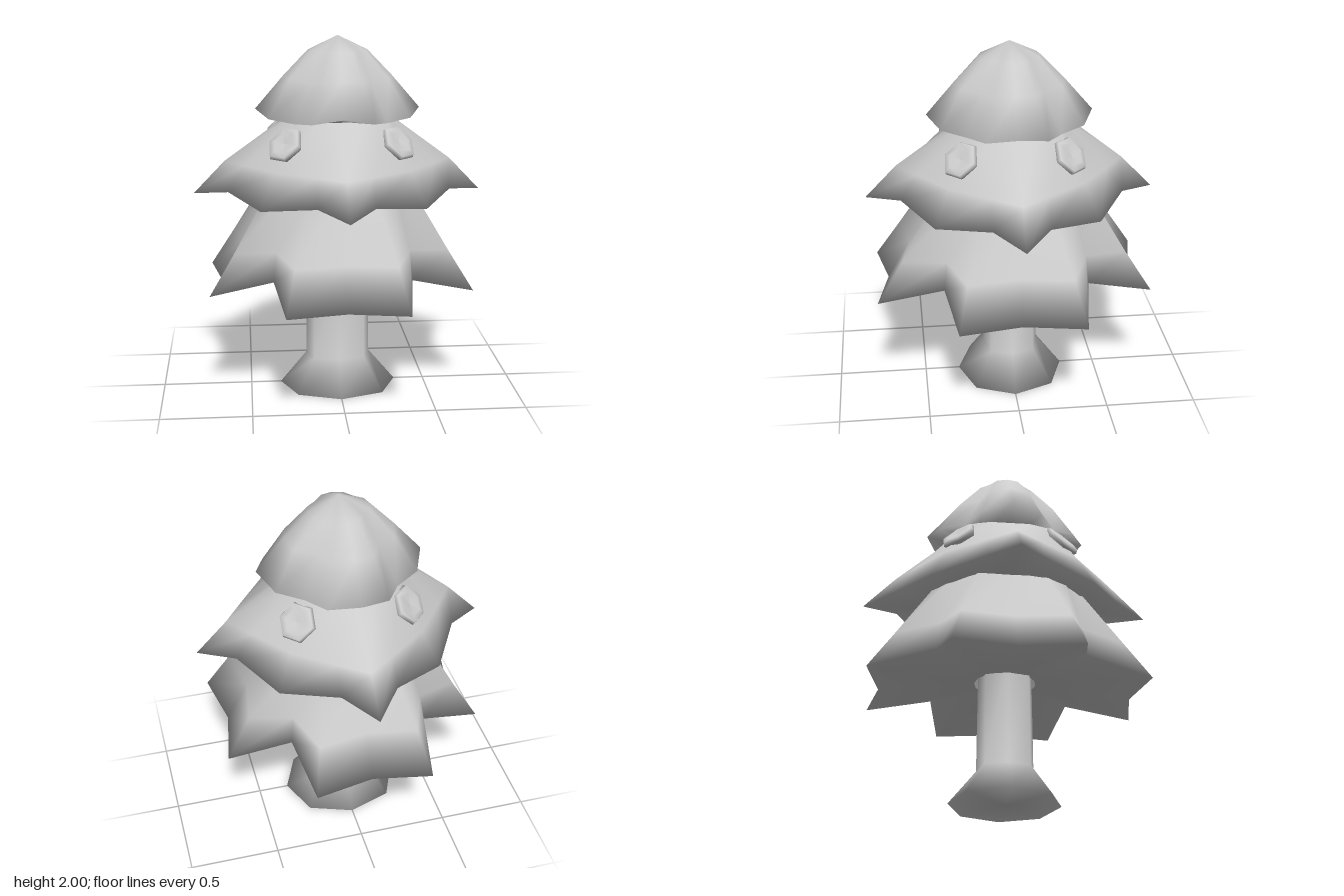
import * as THREE from 'three';
import { mergeVertices } from 'three/addons/utils/BufferGeometryUtils.js';

const material = new THREE.MeshStandardMaterial({ color: 0xcccccc, side: THREE.DoubleSide });

// Full ring from one octant of [x, y, z] points (axis to diagonal), mirrored then turned four times
function ring(octant, zScale = 1) {
  const mirrored = octant.slice(1, -1).reverse().map(([x, y, z]) => [z, y, x]);
  const points = [];
  for (let turn = 0; turn < 4; turn++) {
    for (let [x, y, z] of [...octant, ...mirrored]) {
      for (let k = 0; k < turn; k++) [x, z] = [-z, x];
      points.push([x, y, z * zScale]);
    }
  }
  return points;
}

// Smooth skin over a stack of rings, listed from bottom to top
function loft(name, rings) {
  const n = rings[0].length;
  const index = [];
  for (let r = 0; r < rings.length - 1; r++) {
    for (let i = 0; i < n; i++) {
      const j = (i + 1) % n;
      const a = r * n + i, b = r * n + j, c = a + n, d = b + n;
      index.push(a, c, b, b, c, d);
    }
  }
  let geometry = new THREE.BufferGeometry();
  geometry.setAttribute('position', new THREE.Float32BufferAttribute(rings.flat(2), 3));
  geometry.setIndex(index);
  geometry = mergeVertices(geometry, 1e-4);
  geometry.computeVertexNormals();
  const mesh = new THREE.Mesh(geometry, material);
  mesh.name = name;
  return mesh;
}

// Star-edged skirt of branches whose underside runs in to the core, soft over the rim
function tier(name, octants, coreRadius, coreY, zScale = 1) {
  const rings = octants.map((o) => ring(o, zScale));
  const core = rings[0].map(([x, , z]) => {
    const s = coreRadius / Math.hypot(x, z);
    return [x * s, coreY, z * s];
  });
  return loft(name, [core, ...rings]);
}

export function createModel() {
  const tree = new THREE.Group();
  tree.name = 'tree';

  // Trunk with a flared foot
  const trunkRing = (r, d, y, zScale) => ring([[r, y, 0], [d, y, d]], zScale);
  const foot = trunkRing(0.33, 0.238, 0, 0.92);
  tree.add(loft('trunk', [
    foot.map(() => [0, 0, 0]),
    foot,
    trunkRing(0.18, 0.142, 0.18, 0.86),
    trunkRing(0.173, 0.138, 0.75, 0.86),
  ]));

  // Lower branches: paired points on each side, deep notches on the diagonals
  tree.add(tier('lowerBranches', [
    [[0.66, 0.63, 0], [0.72, 0.63, 0.322], [0.375, 0.72, 0.375]],
    [[0.54, 0.85, 0], [0.585, 0.85, 0.27], [0.36, 0.88, 0.36]],
    [[0.38, 1.2, 0], [0.38, 1.2, 0.17], [0.29, 1.2, 0.29]],
  ], 0.17, 0.69, 1.055));

  // Middle branches: one sharp point on each axis
  tree.add(tier('middleBranches', [
    [[0.803, 1.13, 0], [0.61, 1.165, 0.15], [0.44, 1.12, 0.44]],
    [[0.63, 1.31, 0], [0.52, 1.31, 0.15], [0.36, 1.31, 0.36]],
    [[0.28, 1.56, 0], [0.28, 1.56, 0.11], [0.24, 1.56, 0.24]],
  ], 0.37, 1.17));

  // Crown: four rounded lobes closing to a blunt tip
  tree.add(tier('crown', [
    [[0.455, 1.6, 0], [0.385, 1.565, 0.165], [0.25, 1.55, 0.25]],
    [[0.3, 1.78, 0], [0.27, 1.77, 0.11], [0.165, 1.76, 0.165]],
    [[0.165, 1.92, 0], [0.15, 1.92, 0.06], [0.1, 1.92, 0.1]],
    [[0, 2, 0], [0, 2, 0], [0, 2, 0]],
  ], 0.25, 1.56));

  // Hexagonal ornaments on the four diagonals of the middle branches
  const profile = [[0, -0.03], [0.09, -0.03], [0.11, 0], [0.1, 0.02], [0.065, 0.022], [0, 0.012]]
    .map(([r, h]) => new THREE.Vector2(r, h));
  const ornamentGeometry = new THREE.LatheGeometry(profile, 6, Math.PI / 2).rotateX(Math.PI / 2);
  for (const sx of [-1, 1]) {
    for (const sz of [-1, 1]) {
      const ornament = new THREE.Mesh(ornamentGeometry, material);
      ornament.name = 'ornament';
      ornament.position.set(sx * 0.3, 1.445, sz * 0.288);
      ornament.lookAt(sx * 1.3, 1.445 + 1.15, sz * 1.288);
      tree.add(ornament);
    }
  }
  return tree;
}
